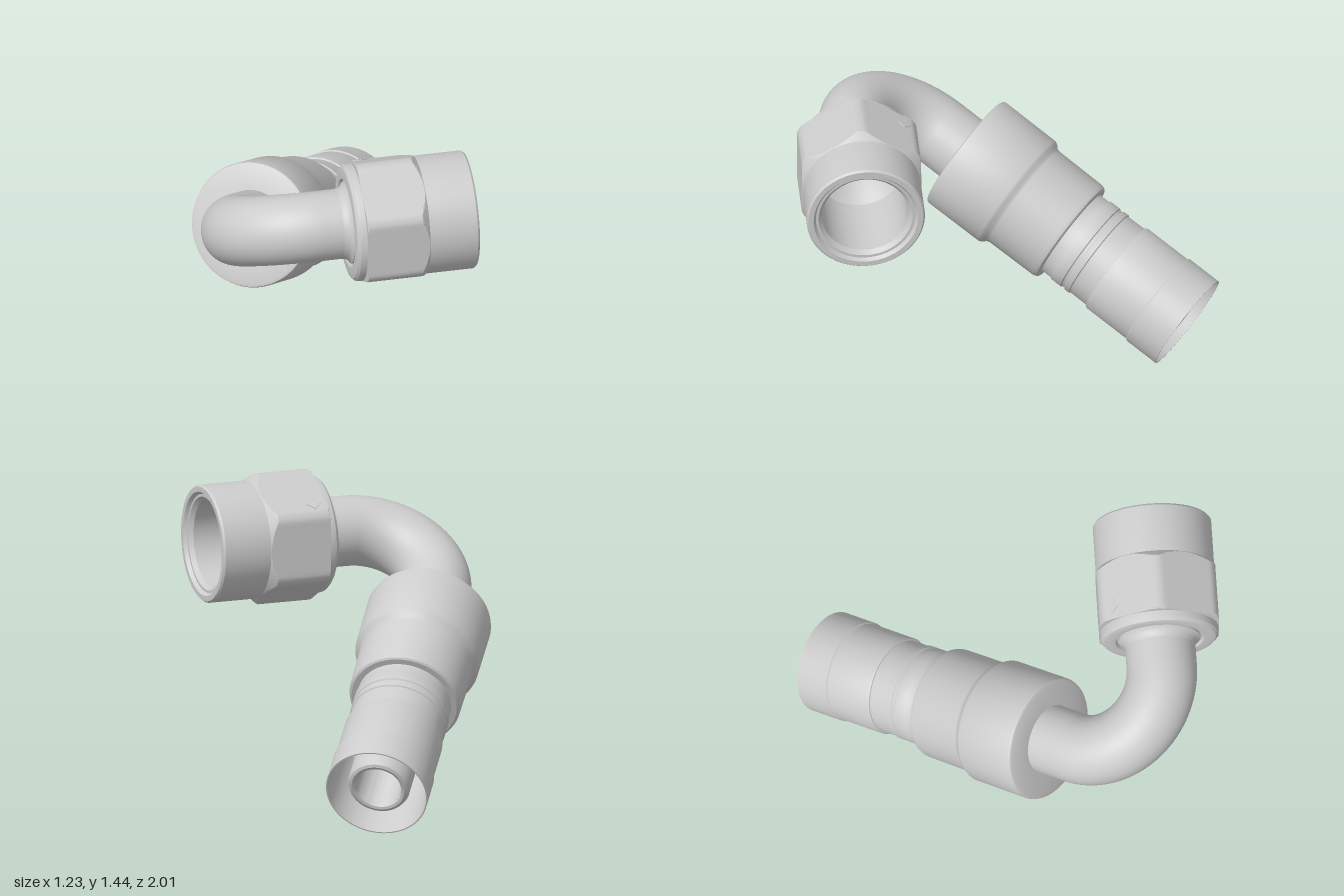
import * as THREE from 'three';
import { toCreasedNormals } from 'three/addons/utils/BufferGeometryUtils.js';

const AXIS_Y = 1.118, AXIS_Z = 0.715;          // nut axis, parallel to x
const PIPE_R = 0.168, BORE_R = 0.118;
const BEND_R = 0.335, BEND_X = -0.114, BEND = Math.PI * 2 / 3;
const grey = new THREE.MeshStandardMaterial({ color: 0xcccccc, side: THREE.DoubleSide });

// Point in the tilted plane of the bend
const inPlane = (x, s) => new THREE.Vector3(x, AXIS_Y - 0.5 * s, AXIS_Z - 0.866 * s);

// Straight, 120 degree arc, straight, measured by length
class BentPath extends THREE.Curve {
  constructor(before, after) {
    super();
    this.before = before;
    this.after = after;
  }
  getPoint(t) {
    const arc = BEND_R * BEND;
    const l = t * (this.before + arc + this.after) - this.before;
    if (l < 0) return inPlane(BEND_X - l, 0);
    const a = Math.min(l / BEND_R, BEND), rest = Math.max(0, l - arc);
    return inPlane(
      BEND_X - BEND_R * Math.sin(a) - rest * Math.cos(a),
      BEND_R * (1 - Math.cos(a)) + rest * Math.sin(a));
  }
}

function named(name, geometry) {
  const mesh = new THREE.Mesh(geometry, grey);
  mesh.name = name;
  return mesh;
}

// Turned part from [radius, height] pairs
function turned(profile) {
  const pts = profile.map(([r, h]) => new THREE.Vector2(r, h));
  return toCreasedNormals(new THREE.LatheGeometry(pts, 80), 0.55);
}

// Hexagonal prism along y, corners trimmed round and cut by a cone at both ends
function chamferedHex(flat, y0, y1) {
  const seg = 144, pos = [], idx = [];
  const ys = [y0, y0 + 0.005];
  for (let i = 0; i <= 12; i++) ys.push(y1 - 0.04 + 0.04 * i / 12);
  ys.forEach((y, j) => {
    const cap = Math.min(0.318, 0.308 + (y - y0) * 2.2, 0.283 + (y1 - y));
    for (let i = 0; i <= seg; i++) {
      const a = i / seg * Math.PI * 2;
      const local = ((a + Math.PI / 6) % (Math.PI / 3)) - Math.PI / 6;
      const r = Math.min(flat / Math.cos(local), cap);
      pos.push(r * Math.sin(a), y, r * Math.cos(a));
      if (i < seg && j < ys.length - 1) {
        const p = j * (seg + 1) + i, q = p + seg + 1;
        idx.push(p, p + 1, q, p + 1, q + 1, q);
      }
    }
  });
  // Flat ring closing the start of the prism
  const base = pos.length / 3;
  for (let i = 0; i <= seg; i++) {
    const a = i / seg * Math.PI * 2;
    pos.push(0.24 * Math.sin(a), y0, 0.24 * Math.cos(a));
    if (i < seg) idx.push(base + i, base + i + 1, i, base + i + 1, i + 1, i);
  }
  const g = new THREE.BufferGeometry();
  g.setAttribute('position', new THREE.Float32BufferAttribute(pos, 3));
  g.setIndex(idx);
  return toCreasedNormals(g, 0.3);
}

function buildNut() {
  const nut = new THREE.Group();
  nut.name = 'swivelNut';

  // Collar, threaded barrel, bore and conical seat
  nut.add(named('nutBarrel', turned([
    [0.165, 0.035], [0.205, 0.035], [0.212, 0.022], [0.25, 0.02], [0.268, 0.025],
    [0.28, 0.038], [0.283, 0.055], [0.283, 0.607], [0.275, 0.617], [0.25, 0.617],
    [0.238, 0.6], [0.225, 0.6], [0.207, 0.58], [0.205, 0.22], [0.185, 0.2],
    [BORE_R, 0.06], [BORE_R, 0.03],
  ])));
  nut.add(named('nutHexagon', chamferedHex(0.285, 0.07, 0.375)));

  // Flare where the pipe enters the nut
  nut.add(named('pipeFlare', turned([
    [PIPE_R, -0.02], [0.171, 0], [0.18, 0.015], [0.195, 0.024], [0.195, 0.05],
  ])));

  // Small diamond mark on one upper flat
  const mark = named('diamondMark', new THREE.BoxGeometry(0.05, 0.05, 0.006));
  mark.rotation.z = Math.PI / 4;
  const holder = new THREE.Group();
  holder.name = 'diamondMarkHolder';
  holder.add(mark);
  holder.position.set(-0.202, 0.135, -0.221);
  holder.lookAt(-0.202 - 0.866, 0.135, -0.221 - 0.5);
  nut.add(holder);

  nut.rotation.z = -Math.PI / 2;
  nut.position.set(0, AXIS_Y, AXIS_Z);
  return nut;
}

function buildSleeve() {
  const sleeve = new THREE.Group();
  sleeve.name = 'hoseEnd';

  // Heights run from the open hose end up to the bend:
  // nipple, inside of the shell, tail, grooved neck, two stepped shoulders
  sleeve.add(named('crimpSleeve', turned([
    [BORE_R, 1.25], [0.108, 1.25], [0.108, 0.05], [0.115, 0.038], [0.128, 0.034],
    [0.142, 0.04], [0.15, 0.06], [0.15, 0.6], [0.226, 0.6], [0.232, 0.18],
    [0.24, 0], [0.246, 0], [0.246, 0.175], [0.239, 0.18], [0.239, 0.42],
    [0.235, 0.43], [0.226, 0.432], [0.226, 0.53], [0.233, 0.535], [0.233, 0.56],
    [0.227, 0.565], [0.227, 0.58], [0.233, 0.585], [0.233, 0.64], [0.227, 0.65],
    [0.227, 0.7], [0.255, 0.7], [0.264, 0.706], [0.27, 0.725], [0.273, 0.985],
    [0.278, 1.0], [0.293, 1.015], [0.3, 1.03], [0.302, 1.325], [0.298, 1.34],
    [0.286, 1.346], [0.16, 1.346],
  ])));

  const end = inPlane(0.342, 1.8);
  const back = inPlane(0.342 - 0.5, 1.8 - 0.866).sub(end).normalize();
  sleeve.quaternion.setFromUnitVectors(new THREE.Vector3(0, 1, 0), back);
  sleeve.position.copy(end);
  return sleeve;
}

export function createModel() {
  const model = new THREE.Group();
  model.name = 'elbowHoseFitting';

  // Bent pipe with its bore
  const path = new BentPath(0.16, 0.28);
  model.add(named('bentPipe', new THREE.TubeGeometry(path, 90, PIPE_R, 56)));
  model.add(named('pipeBore', new THREE.TubeGeometry(path, 90, BORE_R, 40)));

  model.add(buildNut(), buildSleeve());
  return model;
}
